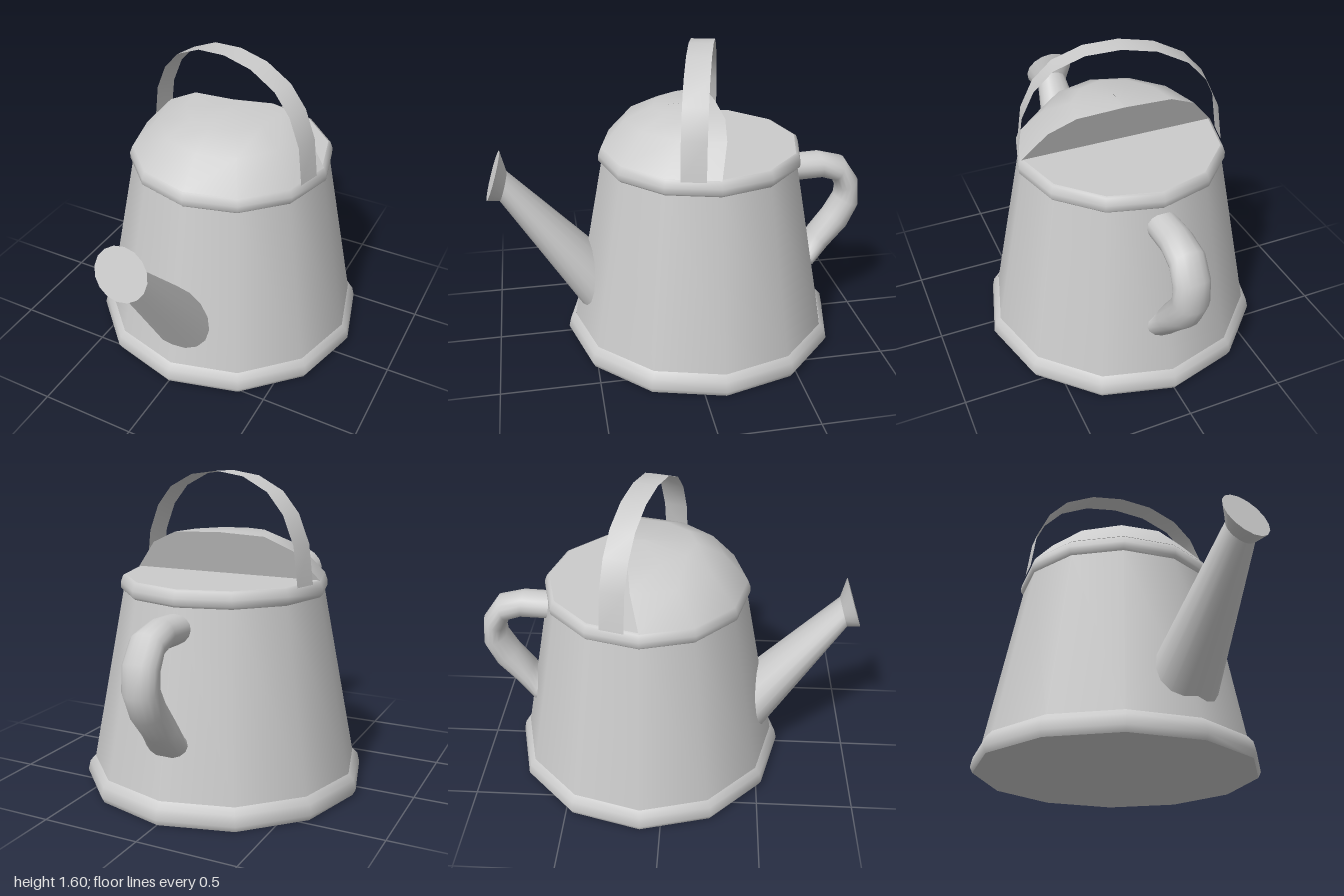
import * as THREE from 'three';

const SIDES = 12;
const BODY_Z = -0.105;

// Smooth surface through rows of points, each row being [x, y, z] entries
function skin(rows, closed) {
  const n = rows[0].length, index = [];
  for (let i = 0; i < rows.length - 1; i++) {
    for (let j = 0; j < (closed ? n : n - 1); j++) {
      const a = i * n + j, b = i * n + (j + 1) % n;
      index.push(a, a + n, b, b, a + n, b + n);
    }
  }
  const g = new THREE.BufferGeometry();
  g.setAttribute('position', new THREE.Float32BufferAttribute(rows.flat(2), 3));
  g.setIndex(index);
  g.computeVertexNormals();
  return g;
}

// Elliptical ring spanning two [z, y] edge points in the middle plane, with half width rx
function ring([p, q, rx], sides = 16) {
  return Array.from({ length: sides }, (_, j) => {
    const a = j / sides * Math.PI * 2, k = Math.cos(a) / 2;
    return [rx * Math.sin(a), (p[1] + q[1]) / 2 + (p[1] - q[1]) * k, (p[0] + q[0]) / 2 + (p[0] - q[0]) * k];
  });
}

export function createModel() {
  const group = new THREE.Group();
  const material = new THREE.MeshStandardMaterial({ color: 0xcccccc, side: THREE.DoubleSide });
  const add = (name, geometry, z = 0) => {
    const mesh = new THREE.Mesh(geometry, material);
    mesh.name = name;
    mesh.position.z = z;
    group.add(mesh);
    return mesh;
  };
  const loft = (name, sections) => add(name, skin(sections.map(s => ring(s)), true));
  const turned = (name, profile) =>
    add(name, new THREE.LatheGeometry(profile.map(p => new THREE.Vector2(...p)), SIDES), BODY_Z);

  // Twelve-sided body with a foot band and a rolled rim
  turned('footBand', [[0.715, 0], [0.73, 0.03], [0.718, 0.08], [0.69, 0.11]]);
  turned('bodyWall', [[0.69, 0.1], [0.516, 1.0]]);
  turned('rim', [[0.515, 0.995], [0.53, 1.01], [0.53, 1.04], [0.517, 1.075], [0.5, 1.08]]);
  add('base', new THREE.CircleGeometry(0.715, SIDES).rotateX(Math.PI / 2), BODY_Z);
  add('topPlate', new THREE.CircleGeometry(0.505, SIDES).rotateX(-Math.PI / 2).translate(0, 1.08, 0), BODY_Z);

  // Half dome hood over the front, its cut edge leaning backward
  const hoodProfile = [[0.515, 1.078], [0.39, 1.222], [0.25, 1.285], [0, 1.296]];
  const hoodRow = ([r, y], steps) => Array.from({ length: steps + 1 }, (_, j) => {
    const a = Math.PI / 2 - j / steps * Math.PI, c = Math.cos(a);
    return [r * Math.sin(a), y, r * c - 0.34 * (y - 1.078) * (1 - c)];
  });
  add('hood', skin(hoodProfile.map(p => hoodRow(p, 6)), false), BODY_Z);
  add('hoodBack', skin(hoodProfile.map(p => hoodRow(p, 1).reverse()), false), BODY_Z);

  // Flat strip carrying hoop, turned slightly about the vertical
  const half = [[0.507, 1.07], [0.48, 1.265], [0.416, 1.405], [0.32, 1.506], [0.17, 1.574]];
  const arc = [...half.map(([x, y]) => [-x, y]), [0, 1.595], ...half.slice().reverse()];
  const hoop = add('carryHoop', skin(arc.map(([x, y]) => [[x, y, 0.062], [x, y, -0.062]]), false), BODY_Z);
  hoop.rotation.y = -THREE.MathUtils.degToRad(15);

  // Tapered spout with a flared rose
  const rim = [[0.914, 1.09], [1.0, 0.845], 0.137];
  const neck = [[0.888, 0.979], [0.936, 0.834], 0.088];
  loft('spout', [[[0.413, 0.476], [0.48, 0.084], 0.19], neck]);
  loft('rose', [neck, rim]);
  loft('roseFace', [rim, [[0.957, 0.9675], [0.957, 0.9675], 0]]);

  // Curved rear handle, given as inner and outer edge points
  loft('rearHandle', [
    [[-0.55, 0.82], [-0.55, 0.965], 0.08],
    [[-0.775, 0.829], [-0.754, 0.973], 0.083],
    [[-0.845, 0.807], [-0.893, 0.936], 0.09],
    [[-0.866, 0.754], [-0.979, 0.813], 0.092],
    [[-0.861, 0.711], [-0.995, 0.658], 0.092],
    [[-0.807, 0.62], [-0.941, 0.529], 0.09],
    [[-0.733, 0.513], [-0.834, 0.412], 0.095],
    [[-0.706, 0.444], [-0.743, 0.305], 0.11],
    [[-0.6, 0.42], [-0.66, 0.27], 0.11],
  ]);

  return group;
}
